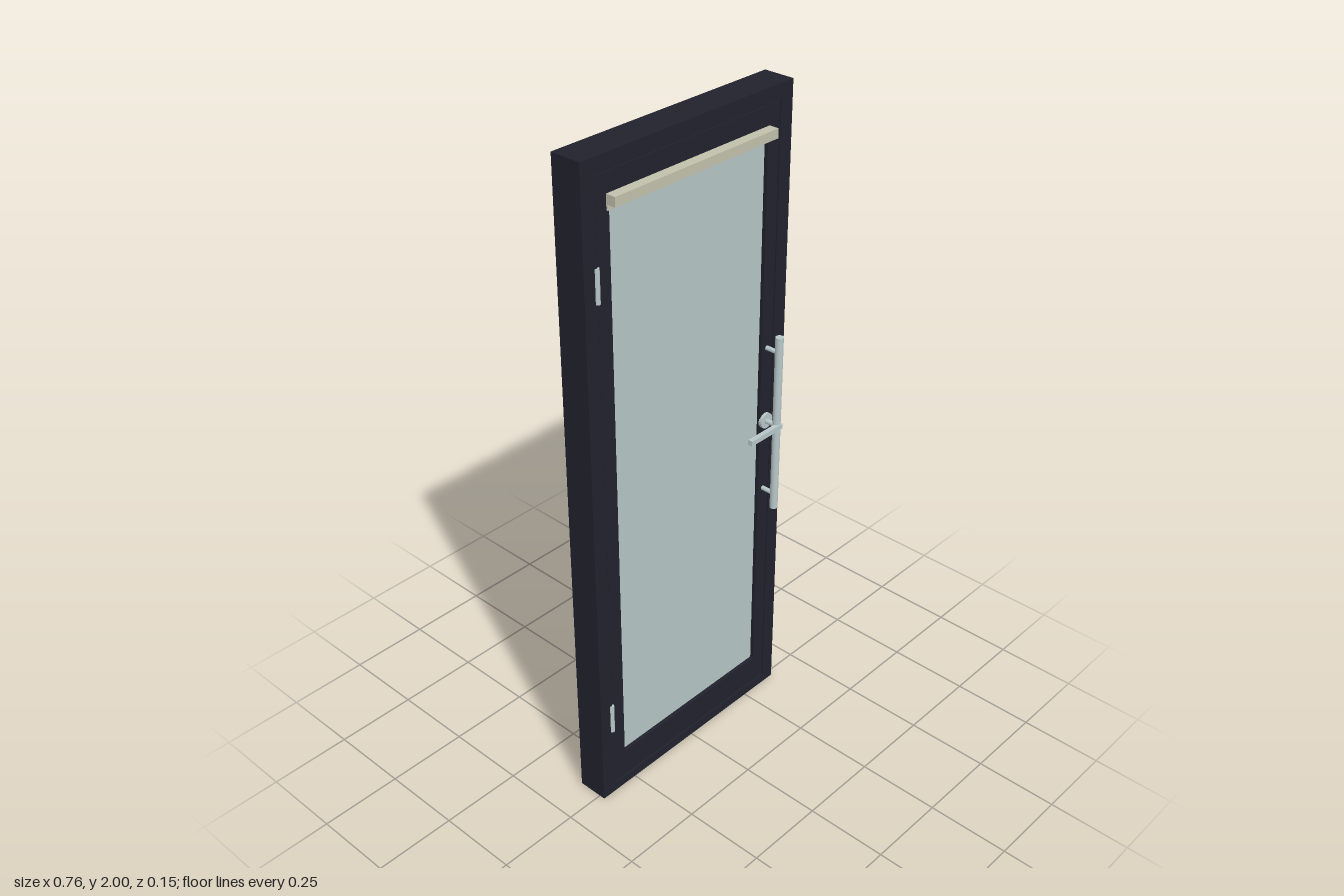
import * as THREE from 'three';

const dark = new THREE.MeshStandardMaterial({ color: 0x22222e });
dark.name = 'darkFrame';
const metal = new THREE.MeshStandardMaterial({ color: 0xb8c7c9 });
metal.name = 'metal';
const pane = new THREE.MeshStandardMaterial({ color: 0xb5c5c5 });
pane.name = 'paleGlass';
const beige = new THREE.MeshStandardMaterial({ color: 0xc2c0ac });
beige.name = 'beige';

function add(parent, name, geometry, material, x = 0, y = 0, z = 0) {
  const mesh = new THREE.Mesh(geometry, material);
  mesh.name = name;
  mesh.position.set(x, y, z);
  parent.add(mesh);
  return mesh;
}

// Box given by its limits on each axis
function block(parent, name, material, [x0, x1], [y0, y1], [z0, z1]) {
  return add(parent, name, new THREE.BoxGeometry(x1 - x0, y1 - y0, z1 - z0), material,
    (x0 + x1) / 2, (y0 + y1) / 2, (z0 + z1) / 2);
}

// Rod along z between two depths
function rodZ(parent, name, radius, x, y, z0, z1) {
  const geometry = new THREE.CylinderGeometry(radius, radius, z1 - z0, 24).rotateX(Math.PI / 2);
  return add(parent, name, geometry, metal, x, y, (z0 + z1) / 2);
}

// Rectangular ring: outer and inner are [halfWidth, bottom, top]
function ring(parent, name, outer, inner, z0, z1) {
  const corners = ([w, b, t]) => [[-w, b], [w, b], [w, t], [-w, t]].map(p => new THREE.Vector2(...p));
  const shape = new THREE.Shape(corners(outer));
  shape.holes.push(new THREE.Path(corners(inner).reverse()));
  const geometry = new THREE.ExtrudeGeometry(shape, { depth: z1 - z0, bevelEnabled: false });
  return add(parent, name, geometry, dark, 0, 0, z0);
}

// Pull bar and lever for one face; side is 1 for front, -1 for back
function handleSet(parent, side) {
  const set = new THREE.Group();
  set.name = side > 0 ? 'frontHandles' : 'backHandles';
  const x = 0.309;
  const span = (a, b) => side > 0 ? [a, b] : [-b, -a];
  add(set, 'pullBar', new THREE.CylinderGeometry(0.012, 0.012, 0.57, 24), metal, x, 1.005, side * 0.061);
  for (const y of [0.768, 1.24]) rodZ(set, 'pullBarMount', 0.007, x, y, ...span(0.014, 0.061));
  rodZ(set, 'leverRose', 0.024, x, 1.003, ...span(0.014, 0.025));
  rodZ(set, 'leverNeck', 0.008, x, 1.003, ...span(0.02, 0.07));
  block(set, 'lever', metal, [0.186, 0.318], [0.995, 1.011], span(0.061, 0.076));
  parent.add(set);
}

export function createModel() {
  const door = new THREE.Group();
  door.name = 'glazedDoor';

  // Fixed frame and door leaf
  ring(door, 'outerFrame', [0.38, 0, 2], [0.335, 0.03, 1.955], -0.077, 0.018);
  ring(door, 'doorLeaf', [0.332, 0.033, 1.952], [0.288, 0.126, 1.875], -0.016, 0.016);
  block(door, 'glassPane', pane, [-0.289, 0.289], [0.125, 1.876], [-0.005, 0.005]);

  // Closer rail with its backing plate
  block(door, 'closerRail', beige, [-0.297, 0.293], [1.87, 1.897], [0.014, 0.046]);
  block(door, 'closerPlate', beige, [-0.297, 0.293], [1.854, 1.897], [0.012, 0.02]);

  // Hinge knuckles
  for (const y of [0.287, 1.67]) {
    add(door, 'hinge', new THREE.CylinderGeometry(0.008, 0.008, 0.096, 16), metal, -0.336, y, 0.016);
  }

  for (const side of [1, -1]) handleSet(door, side);
  return door;
}
